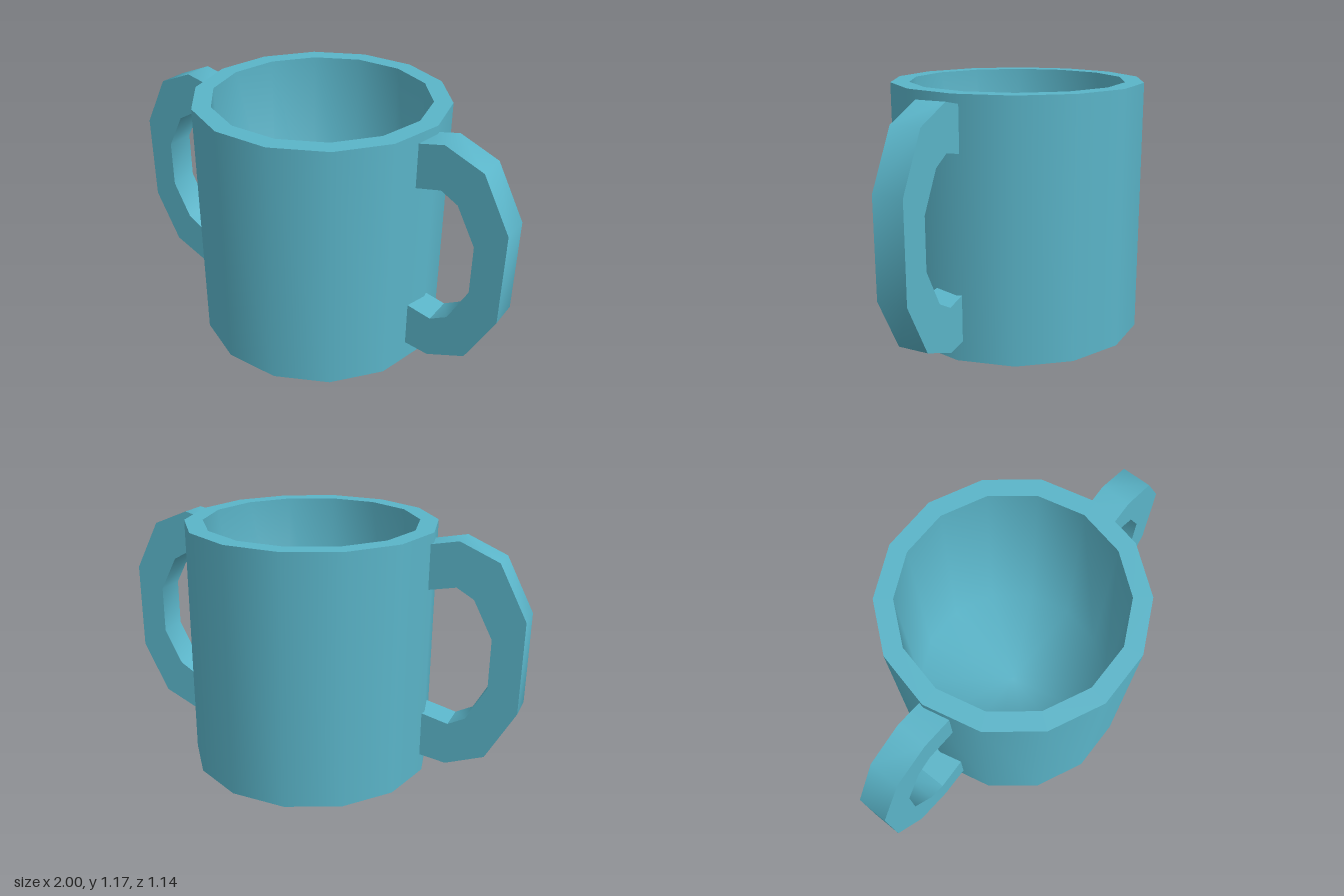
import * as THREE from 'three';
import { toCreasedNormals } from 'three/addons/utils/BufferGeometryUtils.js';

export function createModel() {
  const model = new THREE.Group();
  model.name = 'twoHandledMug';
  const material = new THREE.MeshStandardMaterial({ color: 0x5ab4c8 });

  const SIDES = 14, OUTER = 0.585, INNER = 0.5, HEIGHT = 1.17, FLOOR = 0.09;

  // Cup: each profile is its own lathe, so the edges between them stay sharp
  const cup = new THREE.Group();
  cup.name = 'cup';
  cup.position.x = 0.015;
  const profiles = {
    base: [[0, 0], [OUTER, 0]],
    outerWall: [[OUTER, 0], [OUTER, HEIGHT]],
    rim: [[OUTER, HEIGHT], [INNER, HEIGHT]],
    interior: [[INNER, HEIGHT], [INNER, FLOOR], [0, FLOOR]],
  };
  for (const [name, points] of Object.entries(profiles)) {
    const profile = points.map(([r, y]) => new THREE.Vector2(r, y));
    const part = new THREE.Mesh(new THREE.LatheGeometry(profile, SIDES, Math.PI / 2), material);
    part.name = name;
    cup.add(part);
  }
  model.add(cup);

  // Handles: faceted C outline, extruded in z, with ends sunk into the wall
  const outline = [
    [0.53, 1.116], [0.53, 0.91], [0.69, 0.945], [0.77, 0.9], [0.86, 0.73], [0.86, 0.5],
    [0.77, 0.33], [0.69, 0.285], [0.53, 0.32], [0.53, 0.1], [0.69, 0.08], [0.87, 0.155],
    [1, 0.4], [1, 0.83], [0.87, 1.075], [0.69, 1.15],
  ];
  for (const [name, side] of [['leftHandle', 1], ['rightHandle', -1]]) {
    const shape = new THREE.Shape(outline.map(([x, y]) => new THREE.Vector2(side * x, y)));
    const extruded = new THREE.ExtrudeGeometry(shape, { depth: 0.14, bevelEnabled: false });
    const handle = new THREE.Mesh(toCreasedNormals(extruded, 0.7), material);
    handle.name = name;
    handle.position.z = -0.026;
    model.add(handle);
  }
  return model;
}
